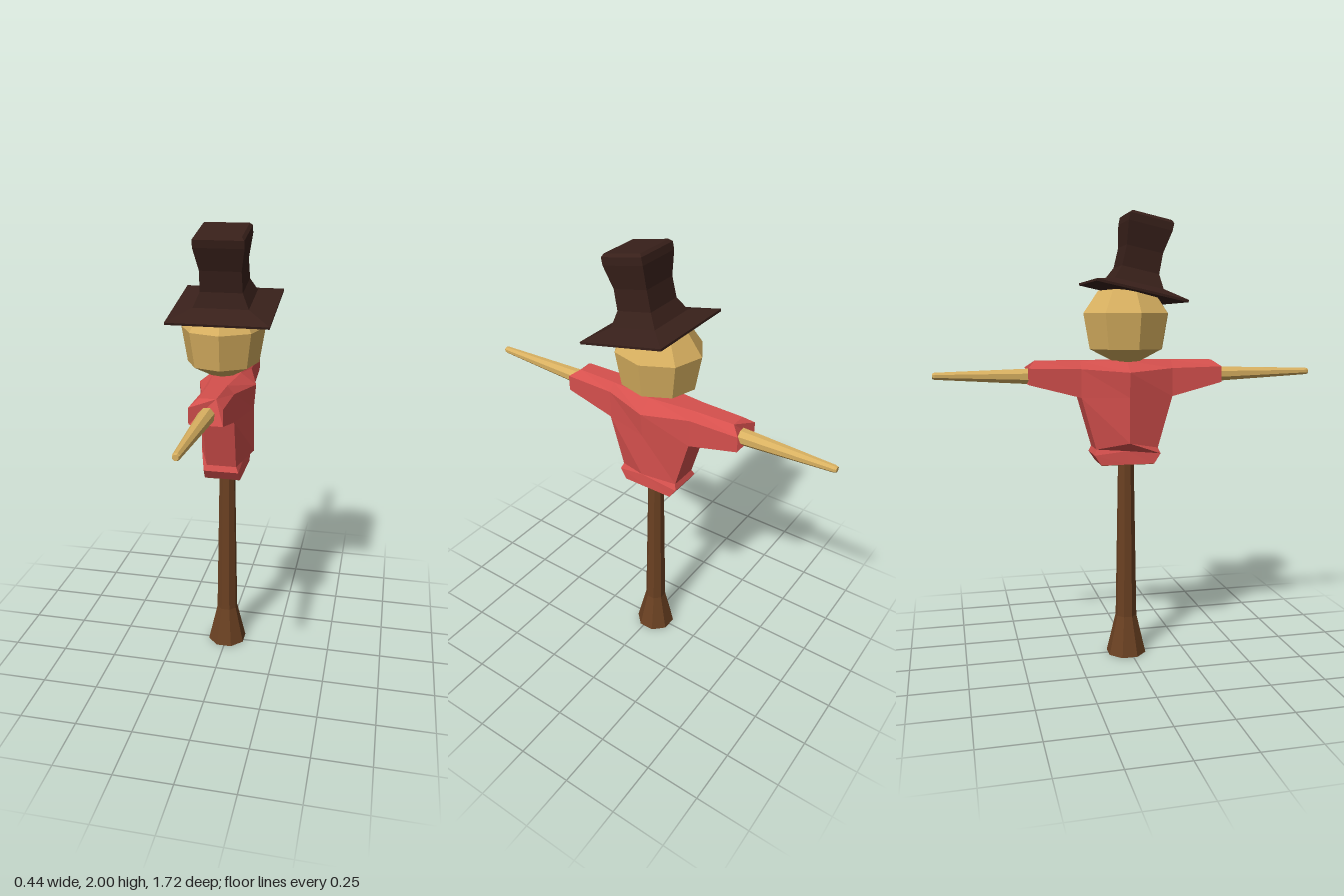
import * as THREE from 'three';

const mat = (color) => new THREE.MeshStandardMaterial({ color, flatShading: true });
const WOOD = mat(0x6b4122), STRAW = mat(0xd8b060), CLOTH = mat(0xd5504d), HAT = mat(0x38201a);
const CZ = -0.025; // depth of the torso's centre

// Faceted solid of revolution from [radius, height] pairs, listed bottom to top
function turned(name, profile, sides, start, material) {
  const pts = profile.map(([r, y]) => new THREE.Vector2(r, y));
  const mesh = new THREE.Mesh(new THREE.LatheGeometry(pts, sides, start), material);
  mesh.name = name;
  return mesh;
}

// Half sections of the shirt, from the front sleeve cuff to the middle ridge.
// Each lists [x, y, z] from the top edge down to the hem.
function shirtSections() {
  const cuff = [[0.035, 1.36, 0.37], [0.07, 1.33, 0.41], [0.07, 1.26, 0.41]];
  const chest = [[0.04, 1.36, 0.18], [0.07, 1.325, 0.18], [0.07, 1.2, 0.18],
    [0.066, 0.97, 0.115], [0.078, 0.945, 0.125], [0.08, 0.9, 0.095]];
  const middle = [[0.06, 1.36, CZ], [0.127, 1.31, CZ], [0.118, 1.2, CZ],
    [0.122, 1.0, CZ], [0.075, 0.96, CZ], [0.08, 0.9, CZ]];
  // Repeating the last used point lets the sleeve underside turn into the chest
  const upTo = (s, n) => middle.map((_, i) => s[Math.min(i, n - 1)]);
  const front = [upTo(cuff, 3), ...[3, 4, 5, 6].map((n) => upTo(chest, n))];
  const back = front.map((s) => s.map(([x, y, z]) => [x, y, 2 * CZ - z])).reverse();
  return [...front, middle, ...back];
}

// Skin over the mirrored sections, closed at both cuffs
function shirtGeometry() {
  const rings = shirtSections().map((half) => [
    ...half.map((p) => new THREE.Vector3(...p)),
    ...[...half].reverse().map(([x, y, z]) => new THREE.Vector3(-x, y, z)),
  ]);
  const out = [];
  const tri = (a, b, c) => {
    if (new THREE.Triangle(a, b, c).getArea() < 1e-8) return;
    for (const v of [a, b, c]) out.push(v.x, v.y, v.z);
  };
  const n = rings[0].length;
  for (let k = 0; k < rings.length - 1; k++) {
    for (let i = 0; i < n; i++) {
      const j = (i + 1) % n, a = rings[k], b = rings[k + 1];
      tri(a[i], a[j], b[j]);
      tri(a[i], b[j], b[i]);
    }
  }
  const first = rings[0], last = rings[rings.length - 1];
  for (let i = 1; i < n - 1; i++) {
    tri(first[0], first[i + 1], first[i]);
    tri(last[0], last[i], last[i + 1]);
  }
  const geo = new THREE.BufferGeometry();
  geo.setAttribute('position', new THREE.Float32BufferAttribute(out, 3));
  geo.computeVertexNormals();
  return geo;
}

export function createModel() {
  const model = new THREE.Group();
  model.name = 'scarecrow';

  // Octagonal post with a flared foot
  const post = turned('post',
    [[0, 0], [0.092, 0], [0.049, 0.18], [0.036, 0.92], [0, 0.92]], 8, Math.PI / 8, WOOD);
  post.position.z = -0.017;
  model.add(post);

  // Shirt with sleeves, and its dark underside
  const shirt = new THREE.Mesh(shirtGeometry(), CLOTH);
  shirt.name = 'shirt';
  model.add(shirt);
  const underside = new THREE.Mesh(new THREE.BoxGeometry(0.156, 0.004, 0.236), WOOD);
  underside.name = 'shirtUnderside';
  underside.position.set(0, 0.9, CZ);
  model.add(underside);

  // Straw arms tapering out of both sleeves
  for (const side of [1, -1]) {
    const inner = side > 0 ? 0.38 : 0.44;
    const length = 0.86 - inner;
    const arm = turned(side > 0 ? 'frontArm' : 'backArm',
      [[0, 0], [0.036, 0], [0.016, length - 0.01], [0.012, length], [0, length]],
      8, Math.PI / 8, STRAW);
    arm.position.set(0, 1.293, side * inner);
    arm.rotation.x = side * (Math.PI / 2 - 0.015);
    model.add(arm);
  }

  // Faceted straw head
  const head = turned('head',
    [[0, 1.35], [0.06, 1.355], [0.17, 1.41], [0.198, 1.565], [0.13, 1.662], [0, 1.675]],
    8, 0.12, STRAW);
  head.scale.x = 0.92;
  head.position.set(-0.018, 0, -0.018);
  model.add(head);

  // Square top hat, tipped forward
  const hatProfile = [[0, 0], [0.217, 0], [0.218, 0.01], [0.118, 0.04], [0.09, 0.1],
    [0.088, 0.19], [0.106, 0.29], [0.106, 0.323], [0.095, 0.335], [0, 0.335]];
  const hat = turned('hat', hatProfile.map(([r, y]) => [r * Math.SQRT2, y]), 4, Math.PI / 4, HAT);
  hat.scale.z = 0.93;
  hat.position.set(0, 1.652, 0.008);
  hat.rotation.x = 0.213;
  model.add(hat);

  return model;
}
